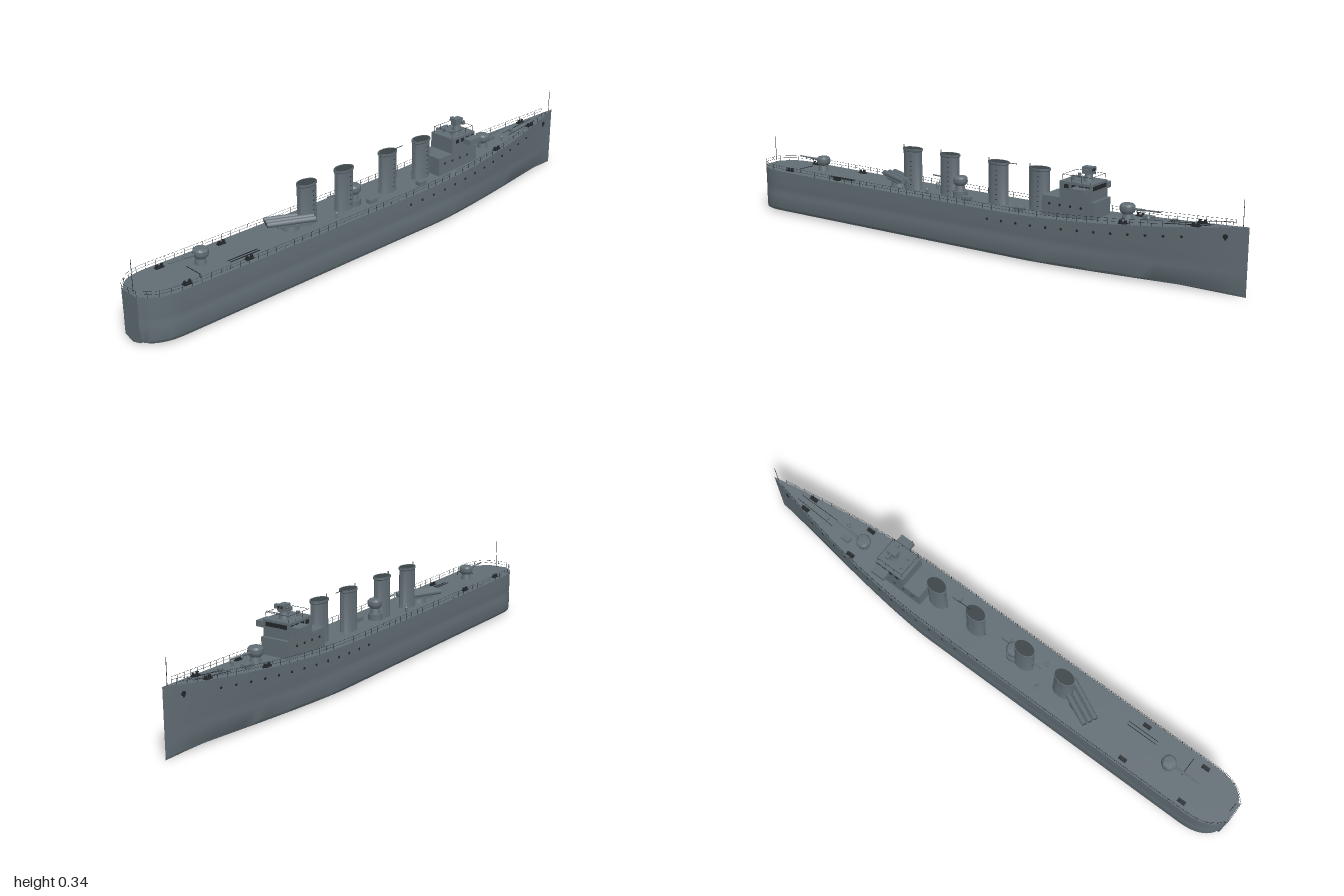
import * as THREE from 'three';
import { toCreasedNormals } from 'three/addons/utils/BufferGeometryUtils.js';

const mat = (name, color) => Object.assign(new THREE.MeshStandardMaterial({ color }), { name });
const grey = mat('ship grey', 0x616d74);
const soot = mat('soot grey', 0x3a4347);
const dark = mat('dark metal', 0x23282b);

// Hull rules: half beam, deck height and side shape along the length
const bowT = (x) => Math.max(0, (x - 0.25) / 0.75);
function beam(x) {
  if (x < -0.86) return Math.max(0.04, 0.097 * Math.pow(Math.max(0, 1 - ((-0.86 - x) / 0.14) ** 2.5), 0.42));
  return 0.097 * (1 - Math.min(1, bowT(x)) ** 1.8);
}
const deckY = (x) => x > 0.1 ? 0.162 + 0.061 * ((x - 0.1) / 0.9) ** 1.8
  : 0.162 + 0.006 * (Math.max(0, -x - 0.3) / 0.7) ** 2;
const sideZ = (x, y) => beam(x) * (1 - 0.4 * bowT(x) * (1 - y / deckY(x)));

// Skin over rows of points, smooth round the bilge and sharp at the deck edge
function loft(rows) {
  const n = rows[0].length, index = [];
  for (let i = 0; i < rows.length - 1; i++) for (let j = 0; j < n - 1; j++) {
    const a = i * n + j, b = a + n;
    index.push(a, a + 1, b, b, a + 1, b + 1);
  }
  const g = new THREE.BufferGeometry();
  g.setAttribute('position', new THREE.Float32BufferAttribute(rows.flat(2), 3));
  g.setIndex(index);
  return toCreasedNormals(g, 1.3);
}
const lathe = (pts, sides) =>
  toCreasedNormals(new THREE.LatheGeometry(pts.map((p) => new THREE.Vector2(...p)), sides), 0.6);

export function createModel() {
  const ship = new THREE.Group();
  ship.name = 'warship';

  const add = (name, geo, material, x = 0, y = 0, z = 0, parent = ship) => {
    const m = new THREE.Mesh(geo, material);
    m.name = name;
    m.position.set(x, y, z);
    parent.add(m);
    return m;
  };
  const box = (name, material, w, h, d, x, y, z, parent) =>
    add(name, new THREE.BoxGeometry(w, h, d), material, x, y, z, parent);
  const cyl = (name, material, r1, r2, h, x, y, z, parent, sides = 16) =>
    add(name, new THREE.CylinderGeometry(r1, r2, h, sides), material, x, y, z, parent);
  const rod = (name, material, a, b, r, parent = ship) => {
    const p = new THREE.Vector3(...a), q = new THREE.Vector3(...b), d = q.clone().sub(p);
    const m = cyl(name, material, r, r, d.length(), 0, 0, 0, parent, 8);
    m.position.copy(p).add(q).multiplyScalar(0.5);
    m.quaternion.setFromUnitVectors(new THREE.Vector3(0, 1, 0), d.normalize());
    return m;
  };

  // Hull with deck, closed sections from deck centre round the keel
  const stations = [];
  for (let i = 0; i <= 14; i++) stations.push(-0.86 - 0.14 * Math.cos(i / 14 * Math.PI / 2));
  for (let i = 1; i <= 38; i++) stations.push(-0.86 + 1.86 * i / 38);
  const section = (x, k) => {
    const h = deckY(x), half = [[x, h, 0]];
    for (const [y, f] of [[h, 1], [0.13, 1], [0.1, 0.995], [0.08, 0.975], [0.07, 1], [0.02, 1], [0.011, 0.97]])
      half.push([x, y, sideZ(x, y) * f * k]);
    return [...half, [x, 0, 0], ...half.map(([a, b, c]) => [a, b, -c]).reverse()];
  };
  add('hull', loft([section(-1, 0), ...stations.map((x) => section(x, 1))]), grey);

  // Railings round the deck edge
  const edge = (lift) => {
    const side = stations.filter((x) => x < 0.985).map((x) => new THREE.Vector3(x, deckY(x) + lift, beam(x) * 0.98));
    const other = side.map((p) => new THREE.Vector3(p.x, p.y, -p.z));
    return new THREE.CatmullRomCurve3([...side.reverse(), ...other]);
  };
  for (const lift of [0.01, 0.02])
    add('railing', new THREE.TubeGeometry(edge(lift), 200, 0.0004, 4), dark);
  const post = new THREE.CylinderGeometry(0.0006, 0.0006, 0.02, 5);
  for (const p of edge(0.01).getSpacedPoints(110)) add('railingPost', post, dark, p.x, p.y, p.z);

  // Portholes, anchors, bollards
  for (const s of [1, -1]) {
    for (let i = 0; i < 13; i++) {
      const x = 0.1 + i * 0.058, y = deckY(x) - 0.031;
      cyl('porthole', dark, 0.0045, 0.0045, 0.003, x, y, s * sideZ(x, y), ship, 12).rotation.x = Math.PI / 2;
    }
    const az = s * sideZ(0.93, 0.185);
    cyl('hawseHole', dark, 0.008, 0.008, 0.005, 0.93, 0.186, az, ship, 12).rotation.x = Math.PI / 2;
    box('anchor', dark, 0.005, 0.016, 0.006, 0.93, 0.183, az);
    rod('anchorChain', dark, [0.72, deckY(0.72) + 0.002, s * 0.014], [0.88, deckY(0.88) + 0.002, s * 0.01], 0.001);
    for (const [x, z] of [[-0.84, 0.072], [-0.6, 0.072], [0.6, 0.058], [0.835, 0.024]]) {
      box('bollardPlate', dark, 0.03, 0.004, 0.014, x, deckY(x) + 0.002, s * z);
      for (const dx of [-0.009, 0.009]) cyl('bollard', dark, 0.005, 0.004, 0.01, x + dx, deckY(x) + 0.007, s * z);
    }
  }

  // Funnels with rim, sooty mouth, steam pipe and rungs
  const funnelGeo = lathe([[0.039, 0], [0.037, 0.006], [0.037, 0.139], [0.04, 0.142], [0.04, 0.149], [0.037, 0.149], [0.037, 0.143]], 32);
  for (const x of [-0.295, -0.128, 0.08, 0.248]) {
    const f = new THREE.Group();
    f.name = 'funnel';
    f.position.set(x, 0.161, 0);
    ship.add(f);
    add('funnelCasing', funnelGeo, grey, 0, 0, 0, f).scale.z = 0.66;
    cyl('funnelMouth', soot, 0.0375, 0.0375, 0.003, 0, 0.1465, 0, f, 32).scale.z = 0.66;
    rod('steamPipe', grey, [-0.0405, 0, 0], [-0.0405, 0.158, 0], 0.002, f);
    for (let i = 0; i < 7; i++) box('rung', dark, 0.005, 0.002, 0.002, 0.008, 0.02 + i * 0.017, 0.0245, f);
  }
  rod('signalSpar', dark, [0.1, 0.309, 0], [0.155, 0.309, 0], 0.0012);

  // Bridge
  box('deckhouse', grey, 0.2, 0.075, 0.104, 0.39, 0.196, 0);
  box('wheelhouse', grey, 0.12, 0.057, 0.104, 0.418, 0.2615, 0);
  for (let i = -2; i <= 2; i++)
    box('frontWindow', dark, 0.002, 0.014, 0.0155, 0.4785, 0.275, i * 0.0172);
  for (const s of [1, -1]) {
    for (const x of [0.385, 0.412, 0.44, 0.464]) box('sideWindow', dark, 0.016, 0.013, 0.002, x, 0.275, s * 0.0525);
    box('bridgeWing', grey, 0.055, 0.02, 0.033, 0.445, 0.268, s * 0.069);
    for (const x of [0.32, 0.36, 0.4, 0.44])
      cyl('deckhousePort', dark, 0.0045, 0.0045, 0.002, x, 0.208, s * 0.0523, ship, 12).rotation.x = Math.PI / 2;
    rod('roofRail', dark, [0.365, 0.311, s * 0.045], [0.472, 0.311, s * 0.045], 0.0006);
    for (const x of [0.365, 0.4, 0.436, 0.472]) rod('roofPost', dark, [x, 0.29, s * 0.045], [x, 0.311, s * 0.045], 0.0006);
  }
  for (const x of [0.365, 0.472]) rod('roofRail', dark, [x, 0.311, -0.045], [x, 0.311, 0.045], 0.0006);

  // Gun director, rangefinder and sights on the roof
  cyl('directorBase', grey, 0.012, 0.018, 0.026, 0.437, 0.302, 0);
  box('directorHouse', grey, 0.036, 0.024, 0.025, 0.437, 0.326, 0);
  rod('rangefinder', grey, [0.44, 0.327, -0.027], [0.44, 0.327, 0.027], 0.004);
  for (const s of [1, -1]) {
    box('rangefinderEnd', grey, 0.013, 0.013, 0.008, 0.44, 0.327, s * 0.028);
    box('directorWindow', dark, 0.002, 0.008, 0.007, 0.4555, 0.329, s * 0.006);
    cyl('lookoutSight', grey, 0.006, 0.005, 0.016, 0.39, 0.298, s * 0.02);
  }
  rod('bridgeBoom', grey, [0.42, 0.296, 0.02], [0.42, 0.296, 0.083], 0.0015);

  // Guns with rounded houses
  const gunHouseGeo = lathe([[0, 0], [0.017, 0.001], [0.024, 0.008], [0.026, 0.016], [0.025, 0.027], [0.02, 0.033], [0, 0.035]], 24);
  const gun = (x, turn, lift) => {
    const g = new THREE.Group();
    g.name = 'gun';
    g.position.set(x, deckY(x) + lift, 0);
    g.rotation.y = turn;
    ship.add(g);
    cyl('pedestal', grey, 0.015, 0.02, 0.024, 0, 0.012, 0, g);
    add('gunHouse', gunHouseGeo, grey, -0.002, 0.02, 0, g);
    rod('barrel', grey, [0.015, 0.038, 0], [0.06, 0.04, 0], 0.0042, g);
    rod('barrel', grey, [0.06, 0.04, 0], [0.118, 0.042, 0], 0.0026, g);
  };
  gun(0.585, 0, 0);
  gun(-0.735, Math.PI, 0.006);
  gun(-0.085, Math.PI, 0.02);
  cyl('midGunPlatform', grey, 0.026, 0.026, 0.022, -0.085, 0.172, 0);

  // Torpedo tubes, trained off the centreline
  const tubes = new THREE.Group();
  tubes.name = 'torpedoMount';
  tubes.position.set(-0.365, 0.162, -0.005);
  tubes.rotation.y = -0.45;
  ship.add(tubes);
  cyl('turntable', grey, 0.026, 0.03, 0.018, 0, 0.009, 0, tubes);
  box('tubeCradle', grey, 0.1, 0.006, 0.058, 0, 0.021, 0, tubes);
  for (const z of [-0.021, 0, 0.021]) {
    rod('torpedoTube', grey, [-0.083, 0.033, z], [0.08, 0.033, z], 0.0098, tubes);
    rod('tubeMouth', soot, [-0.084, 0.033, z], [-0.082, 0.033, z], 0.0075, tubes);
  }

  // Deck fittings: hatches, vents, rails and boom
  for (const [x, z] of [[-0.03, 0.035], [0.2, 0.05], [0.65, -0.02]])
    box('hatch', grey, 0.034, 0.014, 0.022, x, deckY(x) + 0.007, z);
  for (const [x, z] of [[-0.2, 0.04], [-0.22, -0.045], [0.67, 0.022]]) {
    cyl('ventPipe', grey, 0.004, 0.004, 0.018, x, deckY(x) + 0.009, z);
    cyl('ventCap', grey, 0.004, 0.007, 0.005, x, deckY(x) + 0.02, z);
  }
  cyl('capstan', grey, 0.009, 0.006, 0.014, 0.75, deckY(0.75) + 0.007, 0);
  for (const z of [0.038, 0.05]) box('deckRail', dark, 0.12, 0.003, 0.0015, -0.6, 0.1645, z);
  rod('sternBoom', dark, [-0.79, 0.18, 0], [-0.79, 0.18, 0.07], 0.0012);
  rod('boomPost', dark, [-0.79, 0.163, 0.07], [-0.79, 0.181, 0.07], 0.0012);

  // Flagstaffs at both ends
  rod('jackstaff', dark, [0.98, 0.215, 0], [0.98, 0.307, 0], 0.0009);
  rod('ensignStaff', dark, [-0.985, 0.165, 0], [-0.985, 0.274, 0], 0.0009);

  return ship;
}
